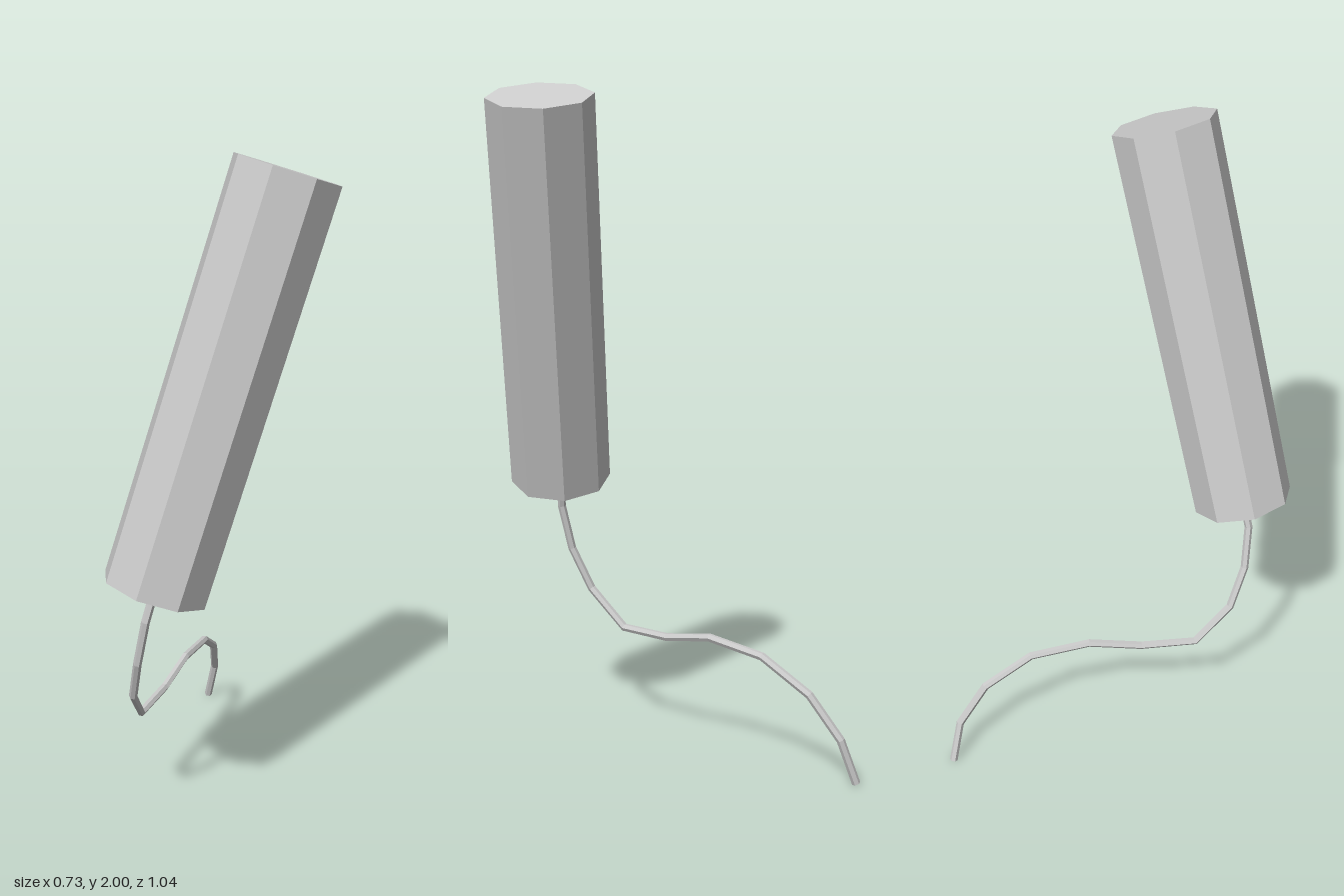
import * as THREE from 'three';

// Straight-segment path sampled exactly at its corners
class Polyline extends THREE.Curve {
  constructor(points) {
    super();
    this.points = points;
  }
  getPoint(t, target = new THREE.Vector3()) {
    const n = this.points.length - 1;
    const f = THREE.MathUtils.clamp(t, 0, 1) * n;
    const i = Math.min(Math.floor(f + 1e-9), n - 1);
    return target.lerpVectors(this.points[i], this.points[i + 1], f - i);
  }
  getPointAt(u, target) {
    return this.getPoint(u, target);
  }
  getTangentAt(u, target = new THREE.Vector3()) {
    const h = 0.5 / (this.points.length - 1);
    return target.copy(this.getPoint(u + h)).sub(this.getPoint(u - h)).normalize();
  }
}

export function createModel() {
  const group = new THREE.Group();
  const material = new THREE.MeshStandardMaterial({ color: 0xcccccc, flatShading: true });
  const add = (name, geometry) => {
    const mesh = new THREE.Mesh(geometry, material);
    mesh.name = name;
    group.add(mesh);
    return mesh;
  };

  // Tilted eight-sided body with a shallow recess in its lower end
  const bottom = new THREE.Vector3(-0.223, 0.815, 0.3);
  const top = new THREE.Vector3(0.132, 1.955, 0.368);
  const axis = top.clone().sub(bottom);
  const length = axis.length();
  axis.normalize();
  const radius = 0.153, inner = 0.11, depth = 0.035;
  const profile = [
    [0, depth], [inner, depth], [inner, 0], [radius, 0], [radius, length], [0, length],
  ].map(([x, y]) => new THREE.Vector2(x, y));
  const body = add('body', new THREE.LatheGeometry(profile, 8));
  body.position.copy(bottom);
  body.quaternion.setFromUnitVectors(new THREE.Vector3(0, 1, 0), axis);

  // Bent cord hanging from the recess down to the ground
  const path = [
    bottom.clone().addScaledVector(axis, depth),
    ...[
      [-0.25, 0.72, 0.297], [-0.262, 0.58, 0.265], [-0.25, 0.45, 0.205],
      [-0.182, 0.337, 0.108], [-0.05, 0.34, -0.01], [0.076, 0.372, -0.122],
      [0.21, 0.35, -0.256], [0.306, 0.26, -0.377], [0.353, 0.137, -0.46],
      [0.353, 0.005, -0.508],
    ].map((p) => new THREE.Vector3(...p)),
  ];
  const cordRadius = 0.0125, sides = 6;
  const curve = new Polyline(path);
  const tube = new THREE.TubeGeometry(curve, path.length - 1, cordRadius, sides);
  add('cord', tube);

  // Flat cap closing the free end, fanned over the last ring of the tube
  const position = tube.attributes.position;
  const first = position.count - sides - 1;
  const end = path[path.length - 1];
  const corners = [];
  for (let i = 0; i < sides; i++) {
    for (const k of [first + i, first + i + 1]) {
      corners.push(new THREE.Vector3().fromBufferAttribute(position, k));
    }
    corners.push(end);
  }
  const capGeometry = new THREE.BufferGeometry().setFromPoints(corners);
  capGeometry.computeVertexNormals();
  const cap = add('cordEnd', capGeometry);
  cap.material = material.clone();
  cap.material.side = THREE.DoubleSide;

  return group;
}
